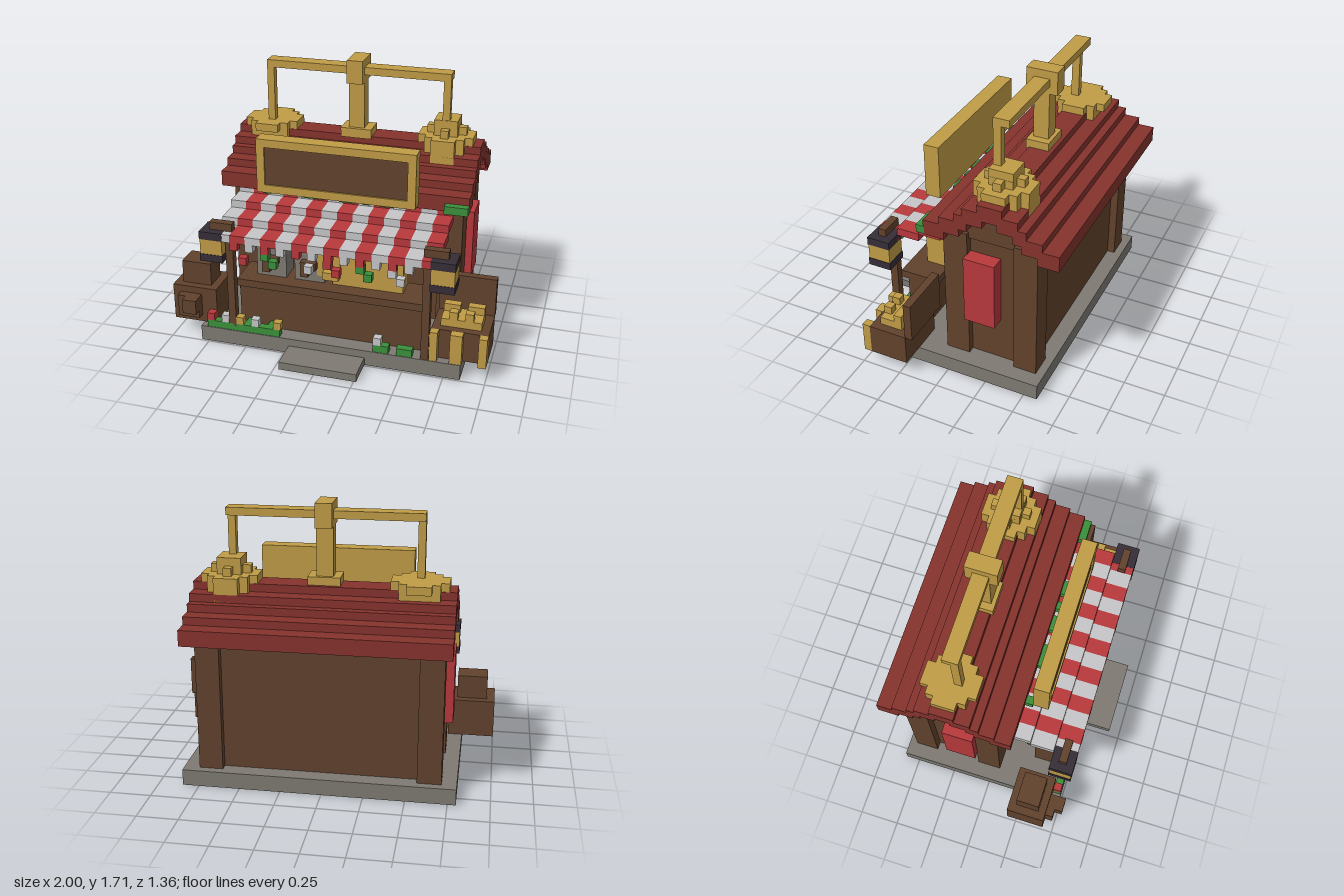
import * as THREE from 'three';

const mat = (name, color) => {
  const m = new THREE.MeshStandardMaterial({ color });
  m.name = name;
  return m;
};

export function createModel() {
  const brown = mat('brown wood', 0x62422d), gold = mat('gold', 0xc09c46), red = mat('bright red', 0xb8393c),
    maroon = mat('roof red', 0x86332d), grey = mat('grey stone', 0x7e7a73), white = mat('white cloth', 0xc6c6c8),
    green = mat('leaf green', 0x3b8f3b), dark = mat('dark metal', 0x362e38);
  const model = new THREE.Group();
  model.name = 'marketStall';
  // Axis-aligned block given by its limits
  const box = (name, m, x0, x1, y0, y1, z0, z1, parent = model) => {
    const mesh = new THREE.Mesh(new THREE.BoxGeometry(x1 - x0, y1 - y0, z1 - z0), m);
    mesh.position.set((x0 + x1) / 2, (y0 + y1) / 2, (z0 + z1) / 2);
    mesh.name = name;
    parent.add(mesh);
    return mesh;
  };
  const group = (name) => {
    const g = new THREE.Group();
    g.name = name;
    model.add(g);
    return g;
  };
  const u = 0.0487; // size of one block

  // Ground
  box('base', grey, -0.8, 0.85, 0, 0.1, -0.585, 0.49);
  box('step', grey, -0.22, 0.265, 0, 0.05, 0.49, 0.68);

  // House: recessed walls, corner posts, stepped gables
  const house = group('house');
  box('walls', brown, -0.66, 0.71, 0.1, 0.97, -0.487, 0.002, house);
  for (const [x0, x1] of [[-0.71, -0.565], [0.61, 0.755]])
    for (const [z0, z1] of [[-0.535, -0.39], [-0.1, 0.05]])
      box('cornerPost', brown, x0, x1, 0.1, 0.97, z0, z1, house);
  [[0.215, 0.93, 1.02], [0.168, 1.02, 1.07], [0.075, 1.07, 1.12]].forEach(([h, y0, y1]) =>
    box('gable', brown, -0.685, 0.73, y0, y1, -0.245 - h, -0.245 + h, house));
  box('sideBannerLeft', red, 0.7, 0.8, 0.39, 0.83, -0.29, -0.095, house);
  box('sideBannerRight', red, -0.755, -0.65, 0.39, 0.83, -0.29, -0.095, house);

  // Stepped roof
  const roof = group('roof');
  const cz = -0.265;
  box('ridge', maroon, -0.755, 0.803, 1.12, 1.22, cz - 0.075, cz + 0.075, roof);
  const half = [0.075, 0.17, 0.22, 0.315, 0.415];
  for (let i = 1; i < 5; i++) {
    const top = 1.22 - i * u, bottom = top - 0.097;
    box('roofStepFront', maroon, -0.755, 0.803, bottom, top, cz + half[i - 1] - 0.03, cz + half[i], roof);
    box('roofStepBack', maroon, -0.755, 0.803, bottom, top, cz - half[i], cz - half[i - 1] + 0.03, roof);
  }
  for (const [x0, x1] of [[-0.465, -0.415], [-0.22, -0.075], [0.02, 0.12], [0.165, 0.215], [0.27, 0.36], [0.66, 0.803]])
    box('roofVine', green, x0, x1, 0.93, 0.98, 0.145, 0.197, roof);

  // Balance scale on the ridge
  const scale = group('balanceScale');
  box('scaleFoot', gold, -0.075, 0.12, 1.21, 1.27, -0.315, -0.17, scale);
  box('scaleStem', gold, -0.03, 0.07, 1.22, 1.57, -0.292, -0.195, scale);
  box('scaleHead', gold, -0.03, 0.07, 1.565, 1.71, -0.34, -0.145, scale);
  box('scaleBeam', gold, -0.56, 0.605, 1.613, 1.66, -0.292, -0.195, scale);
  box('hangerRight', gold, -0.56, -0.515, 1.22, 1.613, -0.244, -0.195, scale);
  box('hangerLeft', gold, 0.56, 0.605, 1.36, 1.613, -0.244, -0.195, scale);
  // Round disc made of three crossing blocks
  const disc = (x, y0, y1, r) => {
    for (const [a, b] of [[r, r - 2 * u], [r - u, r - u], [r - 2 * u, r]])
      box('scalePan', gold, x - a, x + a, y0, y1, cz - b, cz + b, scale);
  };
  disc(-0.54, 1.22, 1.27, 0.17);
  box('panBase', gold, -0.66, -0.42, 1.12, 1.22, cz - 0.12, cz + 0.12, scale);
  disc(0.583, 1.12, 1.27, 0.17);
  disc(0.583, 1.27, 1.32, 0.122);
  box('coinPileTop', gold, 0.51, 0.655, 1.32, 1.37, cz - 0.075, cz + 0.075, scale);

  // Sign board
  const sign = group('sign');
  box('signBack', gold, -0.465, 0.51, 0.98, 1.32, 0.2, 0.28, sign);
  box('signPanel', brown, -0.415, 0.46, 1.03, 1.27, 0.28, 0.285, sign);
  for (const [y0, y1] of [[0.98, 1.03], [1.27, 1.32]]) box('signFrame', gold, -0.465, 0.51, y0, y1, 0.28, 0.295, sign);
  for (const [x0, x1] of [[-0.465, -0.415], [0.46, 0.51]]) box('signFrame', gold, x0, x1, 1.03, 1.27, 0.28, 0.295, sign);

  // Striped awning with a fringe
  const awning = group('awning');
  for (let i = 0; i < 14; i++) {
    const x = -0.66 + i * 2 * u, m = i % 2 ? red : white;
    [[0.05, 0.105], [0.1, 0.245], [0.245, 0.39], [0.39, 0.533]].forEach(([z0, z1], k) =>
      box('awningStripe', m, x, x + 2 * u, 0.88 - k * u, 0.93 - k * u, z0, z1, awning));
    if (i > 0 && i < 13) box('awningFringe', m, x, x + u, 0.685, 0.735, 0.485, 0.533, awning);
  }
  for (const [m, x, y] of [[red, -0.51, 0.595], [green, -0.37, 0.643], [green, -0.32, 0.595], [white, -0.1, 0.595],
    [red, 0.02, 0.643], [red, 0.07, 0.595], [green, 0.22, 0.643], [green, 0.265, 0.595], [white, 0.41, 0.643], [white, 0.46, 0.595]])
    box('bunting', m, x, x + u, y, y + u, 0.485, 0.533, awning);

  // Front posts with hanging lanterns
  for (const s of [-1, 1]) {
    const lamp = group(s > 0 ? 'lanternLeft' : 'lanternRight');
    const span = (a, b) => s > 0 ? [a + 0.0225, b + 0.0225] : [0.0225 - b, 0.0225 - a];
    box('awningPost', brown, ...span(0.585, 0.632), 0.1, 0.785, 0.437, 0.486, lamp);
    box('lanternArm', brown, ...span(0.585, 0.73), 0.785, 0.833, 0.437, 0.486, lamp);
    box('lanternBottom', dark, ...span(0.634, 0.78), 0.59, 0.638, 0.39, 0.535, lamp);
    box('lanternGlass', gold, ...span(0.637, 0.777), 0.638, 0.735, 0.393, 0.532, lamp);
    box('lanternTop', dark, ...span(0.634, 0.78), 0.735, 0.785, 0.39, 0.535, lamp);
  }

  // Counter and goods
  const counter = group('counter');
  box('counterFront', brown, -0.565, 0.61, 0.1, 0.395, 0.25, 0.39, counter);
  box('counterTop', brown, -0.565, 0.61, 0.395, 0.443, 0.195, 0.437, counter);
  for (const x of [-0.465, -0.22]) {
    box('mug', grey, x, x + 0.19, 0.443, 0.64, 0.2, 0.34, counter);
    box('mugHandle', brown, x + u, x + 2 * u, 0.49, 0.588, 0.34, 0.388, counter);
    box('mugHandle', brown, x + 2 * u, x + 3 * u, 0.54, 0.588, 0.34, 0.388, counter);
  }
  box('goldHeap', gold, 0.02, 0.46, 0.443, 0.64, 0.2, 0.34, counter);
  box('goldHeapMiddle', gold, -0.075, 0.07, 0.49, 0.69, 0.245, 0.345, counter);
  box('goldHeapTop', gold, -0.03, 0.02, 0.69, 0.78, 0.245, 0.295, counter);
  box('goldHeapFront', gold, -0.03, 0.07, 0.49, 0.54, 0.345, 0.39, counter);

  // Open treasure chest
  const chest = group('chest');
  box('chestBody', brown, 0.657, 1, 0.1, 0.295, 0.195, 0.437, chest);
  box('chestLid', brown, 0.657, 1, 0.295, 0.54, 0.147, 0.195, chest);
  box('chestGold', gold, 0.705, 0.95, 0.295, 0.345, 0.245, 0.39, chest);
  for (const [x, w, z] of [[0.705, 0.1, 0.245], [0.85, 0.1, 0.245], [0.755, 0.05, 0.34], [0.85, 0.05, 0.34]])
    box('chestCoin', gold, x, x + w, 0.345, 0.393, z, z + 0.05, chest);
  for (const [x0, x1] of [[0.657, 0.705], [0.78, 0.853], [0.95, 1]])
    box('chestBand', gold, x0, x1, 0.1, 0.295, 0.437, 0.486, chest);

  // Stacked crates with a latch
  const crates = group('crates');
  box('largeCrate', brown, -1, -0.71, 0.1, 0.34, 0.195, 0.437, crates);
  box('smallCrate', brown, -0.95, -0.76, 0.34, 0.49, 0.245, 0.39, crates);
  box('latch', brown, -0.95, -0.81, 0.15, 0.295, 0.437, 0.486, crates);
  box('latchKnob', brown, -0.9, -0.81, 0.2, 0.295, 0.486, 0.535, crates);

  // Flower beds
  const beds = group('flowerBeds');
  for (const [x0, x1] of [[-0.757, -0.66], [-0.66, -0.28], [0.315, 0.41], [0.46, 0.555]])
    box('leaves', green, x0, x1, 0.1, 0.148, 0.437, 0.486, beds);
  for (const x of [-0.61, -0.515, -0.37]) box('leafTuft', green, x, x + u, 0.1, 0.148, 0.39, 0.437, beds);
  for (const [m, x] of [[red, -0.757], [white, -0.66], [gold, -0.565], [white, -0.465], [gold, -0.32], [white, 0.315]])
    box('flower', m, x, x + u, 0.148, 0.197, 0.437, 0.486, beds);
  return model;
}
